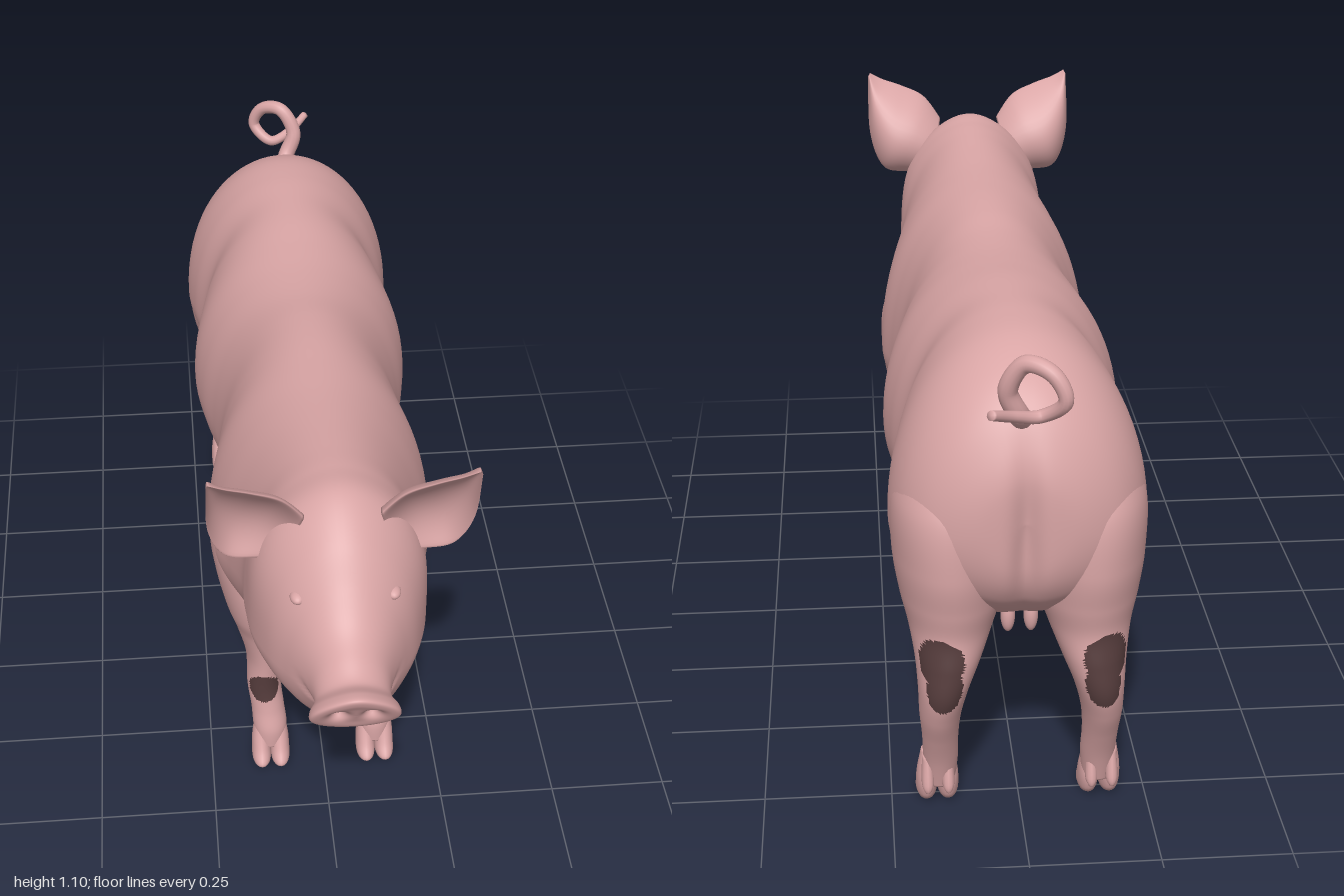
import * as THREE from 'three';

const skin = new THREE.MeshStandardMaterial({ color: 0xd9a5a5 });
skin.name = 'pink skin';
const patch = new THREE.MeshStandardMaterial({ color: 0x553c3c });
patch.name = 'dark patch';

// Smooth interpolation through rows of numbers, t in 0..1
function sample(rows, t) {
  const n = rows.length - 1, s = Math.min(t * n, n - 1e-9), i = Math.floor(s), f = s - i;
  const at = k => rows[Math.max(0, Math.min(n, k))];
  return rows[i].map((b, k) => {
    const a = at(i - 1)[k], c = at(i + 1)[k], d = at(i + 2)[k];
    return b + 0.5 * f * (c - a + f * (2 * a - 5 * b + 4 * c - d + f * (3 * (b - c) + d - a)));
  });
}

// Closed skin over rings: ring(t, angle) gives a point; paint(point) picks dark faces
function loft(ring, nt, na, paint) {
  const pos = [], light = [], dark = [], v = [];
  for (let i = 0; i <= nt; i++)
    for (let j = 0; j < na; j++) v.push(ring(i / nt, j / na * Math.PI * 2));
  const middle = i => v.slice(i * na, i * na + na)
    .reduce((s, p) => s.add(p), new THREE.Vector3()).divideScalar(na);
  const first = v.length;
  v.push(middle(0), middle(nt));
  v.forEach(p => pos.push(p.x, p.y, p.z));
  const face = (a, b, c) => {
    const m = v[a].clone().add(v[b]).add(v[c]).divideScalar(3);
    (paint && paint(m) ? dark : light).push(a, b, c);
  };
  for (let j = 0; j < na; j++) {
    const k = (j + 1) % na;
    for (let i = 0; i < nt; i++) {
      const a = i * na + j, b = i * na + k;
      face(a, b, a + na);
      face(b, b + na, a + na);
    }
    face(first, k, j);
    face(first + 1, nt * na + j, nt * na + k);
  }
  const g = new THREE.BufferGeometry();
  g.setAttribute('position', new THREE.Float32BufferAttribute(pos, 3));
  g.setIndex([...light, ...dark]);
  g.addGroup(0, light.length, 0);
  if (dark.length) g.addGroup(light.length, dark.length, 1);
  g.computeVertexNormals();
  return g;
}

// Upright limb from rows of [y, zBack, zFront, xInner, xOuter], bottom first
function limb(rows, nt, na, paint) {
  return loft((t, a) => {
    const [y, zb, zf, xi, xo] = sample(rows, t);
    return new THREE.Vector3((xi + xo) / 2 + (xo - xi) / 2 * Math.sin(a), y,
      (zb + zf) / 2 + (zf - zb) / 2 * Math.cos(a));
  }, nt, na, paint);
}

function mirrored(g) {
  const m = g.clone().scale(-1, 1, 1), ix = m.index.array;
  for (let i = 0; i < ix.length; i += 3) [ix[i], ix[i + 1]] = [ix[i + 1], ix[i]];
  return m;
}

const bump = (d, w) => Math.exp(-(d * d) / (w * w));
const inside = (p, c, r) =>
  ((p.x - c[0]) / r[0]) ** 2 + ((p.y - c[1]) / r[1]) ** 2 + ((p.z - c[2]) / r[2]) ** 2 < 1;

// Body and head: [z, yBottom, yTop, halfWidth, yWidest, tilt], rump to snout
const bodyRows = [
  [-0.912, 0.658, 0.664, 0.003, 0.661, 0], [-0.906, 0.56, 0.75, 0.09, 0.65, 0],
  [-0.88, 0.5, 0.82, 0.155, 0.63, 0], [-0.84, 0.46, 0.88, 0.2, 0.62, 0],
  [-0.78, 0.42, 0.925, 0.232, 0.61, 0], [-0.7, 0.4, 0.957, 0.245, 0.6, 0],
  [-0.6, 0.39, 0.967, 0.232, 0.61, 0], [-0.5, 0.36, 0.967, 0.21, 0.62, 0],
  [-0.4, 0.333, 0.965, 0.23, 0.62, 0], [-0.3, 0.333, 0.958, 0.243, 0.62, 0],
  [-0.2, 0.336, 0.954, 0.23, 0.62, 0], [-0.1, 0.345, 0.957, 0.208, 0.62, 0],
  [0, 0.362, 0.968, 0.2, 0.61, 0], [0.1, 0.38, 0.975, 0.215, 0.59, 0],
  [0.2, 0.397, 0.978, 0.234, 0.58, 0], [0.3, 0.41, 0.982, 0.225, 0.59, 0],
  [0.4, 0.435, 0.99, 0.2, 0.63, 0], [0.5, 0.49, 1.0, 0.18, 0.67, 0],
  [0.58, 0.535, 1.008, 0.177, 0.68, 0], [0.66, 0.558, 1.01, 0.168, 0.68, 0],
  [0.74, 0.567, 0.962, 0.143, 0.69, 0], [0.8, 0.58, 0.895, 0.113, 0.7, 0],
  [0.85, 0.62, 0.845, 0.088, 0.72, 0], [0.89, 0.665, 0.818, 0.074, 0.735, 0.1],
].concat([
  [0.925, 0.687, 0.798, 0.07, 0.74, 0.3], [0.95, 0.688, 0.811, 0.081, 0.737, 0.45],
  [0.968, 0.69, 0.812, 0.082, 0.737, 0.5], [0.974, 0.702, 0.797, 0.068, 0.74, 0.5],
  [0.972, 0.722, 0.775, 0.038, 0.746, 0.5], [0.972, 0.745, 0.751, 0.004, 0.748, 0.5],
]);

function bodyPoint(t, a) {
  const [z, yb, yt, w, yw, tilt] = sample(bodyRows, t), s = Math.sin(a);
  const p = new THREE.Vector3(w * Math.cos(a), yw + s * (s > 0 ? yt - yw : yw - yb), z);
  const corner = Math.sin(2 * a) ** 2;
  p.z += tilt * (p.y - 0.75);
  // Broad forehead, snout narrowing upwards, keeled belly
  if (s > 0) p.x *= 1 + 0.13 * corner * bump(z - 0.66, 0.1) - 0.6 * tilt * s * s;
  else p.y += 0.03 * corner * bump(z + 0.35, 0.25);
  // Nostrils, mouth crease and the cleft of the rump
  if (z > 0.95) p.z -= 0.02 * bump(Math.hypot(Math.abs(p.x) - 0.03, p.y - 0.748), 0.015);
  p.x *= 1 - 0.09 * bump(p.y - 0.7 - 0.2 * (0.93 - p.z), 0.009) * bump(p.z - 0.885, 0.04);
  if (p.z < -0.75) p.z += 0.025 * bump(p.x, 0.025) * bump(p.y - 0.6, 0.17);
  return p;
}

// Leaf-shaped ear, cupped towards the front: upper and lower edges as [x, y]
const earUpper = [[0.07, 0.99], [0.11, 1.042], [0.165, 1.068], [0.21, 1.083], [0.241, 1.098]];
const earLower = [[0.1, 0.87], [0.16, 0.866], [0.215, 0.88], [0.245, 0.96], [0.246, 1.09]];
function earPoint(t, a) {
  const u = sample(earUpper, t), l = sample(earLower, t), s = (1 + Math.cos(a)) / 2;
  const x = l[0] + (u[0] - l[0]) * s, y = l[1] + (u[1] - l[1]) * s;
  const cup = 0.055 * 4 * s * (1 - s) * Math.sin(Math.PI * (0.15 + 0.8 * t));
  const thick = 0.022 - 0.015 * t;
  return new THREE.Vector3(x, y, 0.665 + 0.32 * (y - 0.88) - cup + thick * Math.sin(a));
}

const foreRows = [
  [0.045, 0.3, 0.36, 0.085, 0.15], [0.09, 0.285, 0.36, 0.08, 0.155],
  [0.14, 0.275, 0.348, 0.085, 0.158], [0.2, 0.258, 0.341, 0.09, 0.165],
  [0.28, 0.215, 0.345, 0.085, 0.166], [0.36, 0.165, 0.357, 0.078, 0.187],
  [0.42, 0.138, 0.376, 0.068, 0.206], [0.5, 0.11, 0.385, 0.055, 0.224],
  [0.58, 0.1, 0.38, 0.05, 0.234], [0.66, 0.11, 0.36, 0.05, 0.23], [0.74, 0.15, 0.32, 0.06, 0.2],
];
const hindRows = [
  [0.045, -0.795, -0.73, 0.125, 0.185], [0.11, -0.815, -0.742, 0.12, 0.188],
  [0.17, -0.84, -0.755, 0.12, 0.19], [0.23, -0.868, -0.752, 0.115, 0.195],
  [0.29, -0.887, -0.735, 0.1, 0.197], [0.35, -0.883, -0.705, 0.075, 0.202],
  [0.41, -0.873, -0.655, 0.05, 0.213], [0.47, -0.883, -0.605, 0.03, 0.228],
  [0.55, -0.895, -0.56, 0.022, 0.24], [0.66, -0.885, -0.57, 0.03, 0.238],
  [0.76, -0.83, -0.6, 0.05, 0.2],
];
const forePatch = p => inside(p, [0.13, 0.208, 0.34], [0.036, 0.038, 0.042]);
const hindPatch = p => inside(p, [0.165, 0.37, -0.875], [0.055, 0.045, 0.048]) ||
  inside(p, [0.152, 0.318, -0.89], [0.042, 0.052, 0.036]);

// One cloven toe reaching forward to zTip
const toe = (x, w, zTip) => limb([
  [0.003, zTip - 0.072, zTip - 0.012, x - w * 0.8, x + w * 0.8],
  [0.016, zTip - 0.082, zTip, x - w, x + w], [0.04, zTip - 0.088, zTip - 0.018, x - w, x + w],
  [0.07, zTip - 0.086, zTip - 0.034, x - w * 0.9, x + w * 0.9],
  [0.12, zTip - 0.08, zTip - 0.055, x - w * 0.5, x + w * 0.5],
], 20, 20);

const dewclaw = (x, zTip) => limb([
  [0.042, zTip - 0.113, zTip - 0.103, x - 0.005, x + 0.005],
  [0.06, zTip - 0.114, zTip - 0.084, x - 0.012, x + 0.012],
  [0.115, zTip - 0.098, zTip - 0.063, x - 0.01, x + 0.01],
], 10, 12);

const blob = (x, y, z, rx, ry, rz) =>
  new THREE.SphereGeometry(1, 24, 16).scale(rx, ry, rz).translate(x, y, z);

// Curled tail, tapering to its tip
function tail() {
  const path = new THREE.CatmullRomCurve3([
    [0, 0.84, -0.83], [0.015, 0.872, -0.875], [0.035, 0.925, -0.89], [0.005, 0.98, -0.91],
    [-0.04, 0.97, -0.94], [-0.06, 0.925, -0.95], [-0.02, 0.888, -0.925],
    [0.03, 0.9, -0.95], [0.072, 0.922, -0.993],
  ].map(p => new THREE.Vector3(...p)));
  const n = 90, f = path.computeFrenetFrames(n);
  return loft((t, a) => {
    const i = Math.round(t * n), r = 0.021 - 0.012 * t;
    return path.getPointAt(t).addScaledVector(f.normals[i], r * Math.cos(a))
      .addScaledVector(f.binormals[i], r * Math.sin(a));
  }, n, 12);
}

export function createModel() {
  const pig = new THREE.Group();
  pig.name = 'pig';
  const add = (name, g) => {
    const painted = g.groups.length > 1;
    if (!painted) g.clearGroups();
    const m = new THREE.Mesh(g, painted ? [skin, patch] : skin);
    m.name = name;
    pig.add(m);
  };
  const pair = (name, g) => {
    add('left ' + name, g);
    add('right ' + name, mirrored(g));
  };

  add('body and head', loft(bodyPoint, 260, 80));
  add('tail', tail());
  pair('ear', loft(earPoint, 32, 40));
  pair('eyelid', blob(0.088, 0.858, 0.768, 0.014, 0.011, 0.02));

  // Legs with their dark patches
  pair('front leg', limb(foreRows, 120, 56, forePatch));
  pair('hind leg', limb(hindRows, 120, 56, hindPatch));
  for (const [name, x, z] of [['front', 0.118, 0.39], ['hind', 0.16, -0.7]])
    for (const [side, s] of [['inner', -1], ['outer', 1]]) {
      pair(`${name} ${side} toe`, toe(x + s * 0.021, 0.021, z));
      pair(`${name} ${side} dewclaw`, dewclaw(x + s * 0.02, z));
    }

  // Underside details
  add('belly bump', limb([
    [0.29, -0.435, -0.415, -0.01, 0.01], [0.305, -0.445, -0.405, -0.02, 0.02],
    [0.33, -0.46, -0.375, -0.04, 0.04], [0.385, -0.51, -0.33, -0.09, 0.09],
  ], 20, 28));
  pair('rear teat', blob(0.022, 0.405, -0.76, 0.014, 0.035, 0.016));
  return pig;
}
